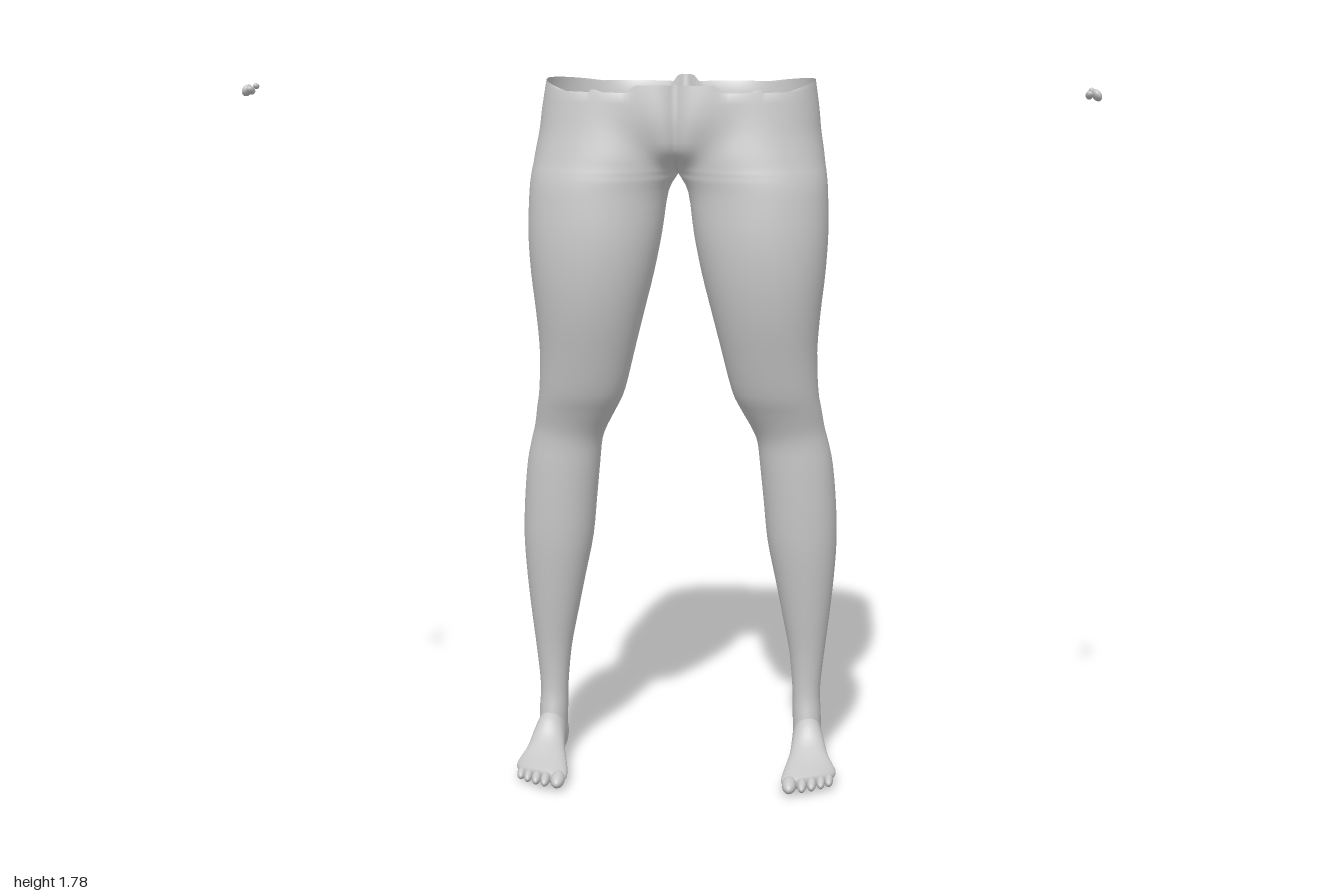
import * as THREE from 'three';
import { mergeGeometries, mergeVertices } from 'three/addons/utils/BufferGeometryUtils.js';

const { smoothstep, lerp } = THREE.MathUtils;

// Hip-to-ankle sections: y, inner x, outer x, front z, back z (inner x < 0: halves joined)
const LEG = [
  [1.77, -.08, .335, .035, -.372], [1.70, -.075, .345, .05, -.36], [1.65, -.06, .35, .06, -.345],
  [1.60, -.035, .358, .07, -.315], [1.57, -.015, .362, .075, -.285], [1.545, 0, .366, .08, -.262],
  [1.50, .025, .37, .085, -.238], [1.40, .04, .372, .093, -.217], [1.30, .06, .366, .09, -.21],
  [1.20, .085, .355, .075, -.2], [1.10, .11, .348, .05, -.187], [1.0, .135, .352, .022, -.18],
  [.95, .157, .36, .0, -.188], [.90, .183, .368, -.02, -.205], [.86, .198, .378, -.028, -.214],
  [.80, .205, .39, -.03, -.225], [.70, .215, .399, -.034, -.237], [.60, .225, .402, -.04, -.238],
  [.50, .245, .396, -.052, -.228], [.40, .265, .386, -.066, -.213], [.30, .284, .374, -.08, -.193],
  [.20, .293, .364, -.085, -.181], [.14, .294, .367, -.075, -.184], [.06, .297, .368, -.06, -.188],
];
// Heel-to-ball sections: z, centre x, half width, bottom y, top y
const FOOT = [
  [-.194, .332, 0, .045, .045], [-.186, .332, .02, .015, .085], [-.16, .332, .036, .002, .125],
  [-.11, .333, .038, .008, .145], [-.06, .336, .042, .016, .13], [-.02, .339, .049, .018, .092],
  [.02, .341, .06, .012, .07], [.06, .341, .068, .005, .056], [.09, .34, .066, .006, .047],
  [.108, .338, .05, .012, .04], [.112, .338, 0, .026, .026],
];
// Uneven top edge: x, y
const RIM_FRONT = [[0, 1.77], [.1, 1.77], [.13, 1.735], [.205, 1.76], [.22, 1.735], [.335, 1.77]];
const RIM_BACK = [[0, 1.77], [.02, 1.77], [.03, 1.735], [.12, 1.737], [.335, 1.77]];

function piecewise(points, x) {
  for (let i = 1; i < points.length; i++) {
    const [x0, y0] = points[i - 1], [x1, y1] = points[i];
    if (x <= x1) return lerp(y0, y1, (x - x0) / (x1 - x0));
  }
  return points[points.length - 1][1];
}

// Smooth extra sections between the given ones
function refine(rows, steps) {
  const n = (rows.length - 1) * steps;
  const columns = rows[0].map((_, c) => new THREE.SplineCurve(rows.map((r, i) => new THREE.Vector2(i, r[c]))));
  return Array.from({ length: n + 1 }, (_, i) =>
    i % steps === 0 ? rows[i / steps] : columns.map((curve) => curve.getPoint(i / n).y));
}

// Surface through rows x columns of points; side -1 mirrors it
function loft(rows, segments, pointAt, side) {
  const positions = [], index = [];
  rows.forEach((row, i) => {
    for (let j = 0; j <= segments; j++) {
      const [x, y, z] = pointAt(row, j / segments, i);
      positions.push(x * side, y, z);
      if (i < rows.length - 1 && j < segments) {
        const a = i * (segments + 1) + j, b = a + segments + 1;
        if (side > 0) index.push(a, b, a + 1, a + 1, b, b + 1);
        else index.push(a, a + 1, b, a + 1, b + 1, b);
      }
    }
  });
  const geometry = new THREE.BufferGeometry();
  geometry.setAttribute('position', new THREE.Float32BufferAttribute(positions, 3));
  geometry.setIndex(index);
  return geometry;
}

function weld(geometry) {
  const welded = mergeVertices(geometry, 1e-4);
  welded.computeVertexNormals();
  return welded;
}

function legPoint([y, xin, xout, zf, zb], t, i) {
  const cx = (xin + xout) / 2, rx = (xout - xin) / 2;
  const cz = (zf + zb) / 2, rz = (zf - zb) / 2;
  const open = xin < 0 ? Math.acos(Math.min(1, cx / rx)) : 0;
  const a = lerp(open, Math.PI * 2 - open, t);
  const s = Math.sin(a);
  const x = xin <= 0 && (t === 0 || t === 1) ? 0 : cx - rx * Math.cos(a);
  let z = cz + rz * (s > 0 ? Math.pow(s, .8) : s);
  // Rounded front panel, narrowing towards the bottom
  if (s > 0) {
    const width = lerp(.035, .11, smoothstep(y, 1.55, 1.76));
    z += .045 * Math.exp(-((x / width) ** 2)) * smoothstep(y, 1.545, 1.62);
  }
  const top = i === 0 ? piecewise(s > 0 ? RIM_FRONT : RIM_BACK, x) : y;
  return [x, top, z];
}

function footPoint([z, cx, w, bottom, top], t) {
  const a = -t * Math.PI * 2;
  const x = cx + w * Math.cos(a);
  const y = (top + bottom) / 2 + (top - bottom) / 2 * Math.sin(a);
  // The ball slants back towards the little toe
  return [x, y, z - (x - .31) * .55 * smoothstep(z, -.02, .1)];
}

function createModel() {
  const model = new THREE.Group();
  const skin = new THREE.MeshStandardMaterial({ color: 0xc8c8c8, side: THREE.DoubleSide });
  skin.name = 'plain grey';

  const add = (name, geometry, parent = model) => {
    const mesh = new THREE.Mesh(geometry, skin);
    mesh.name = name;
    parent.add(mesh);
    return mesh;
  };
  const ball = new THREE.SphereGeometry(1, 20, 14);
  const blob = (name, parent, position, scale, rotation = [0, 0, 0]) => {
    const mesh = add(name, ball, parent);
    mesh.position.set(...position);
    mesh.scale.set(...scale);
    mesh.rotation.set(...rotation);
  };

  // Hips and both legs as one open shell
  const legRows = refine(LEG, 3);
  add('hipsAndLegs', weld(mergeGeometries([1, -1].map((s) => loft(legRows, 72, legPoint, s)))));

  const footRows = refine(FOOT, 3);
  for (const side of [1, -1]) {
    const label = side > 0 ? 'left' : 'right';

    // Foot with five toes, big toe on the inside
    const foot = new THREE.Group();
    foot.name = label + 'Foot';
    model.add(foot);
    add(label + 'FootBody', weld(loft(footRows, 40, footPoint, side)), foot);
    [[.293, .12, .018], [.325, .114, .012], [.349, .1, .012], [.372, .083, .011], [.392, .064, .011]]
      .forEach(([x, z, r], i) => blob(label + 'Toe' + (i + 1), foot,
        [x * side, .026 - i * .001, z], [r, r * .6 + .007, .036 - i * .002], [.12, 0, 0]));

    // Small loose tips floating out to the side
    const tips = new THREE.Group();
    tips.name = label + 'LooseTips';
    model.add(tips);
    [[.965, 1.776, .347, .009, .009, .019], [.986, 1.772, .297, .01, .015, .019], [.979, 1.777, .236, .007, .007, .011]]
      .forEach(([x, y, z, sx, sy, sz], i) => blob(label + 'Tip' + (i + 1), tips,
        [x * side, y, z], [sx, sy, sz], [-.35, 0, .6 * side]));
  }
  return model;
}

export { createModel };
